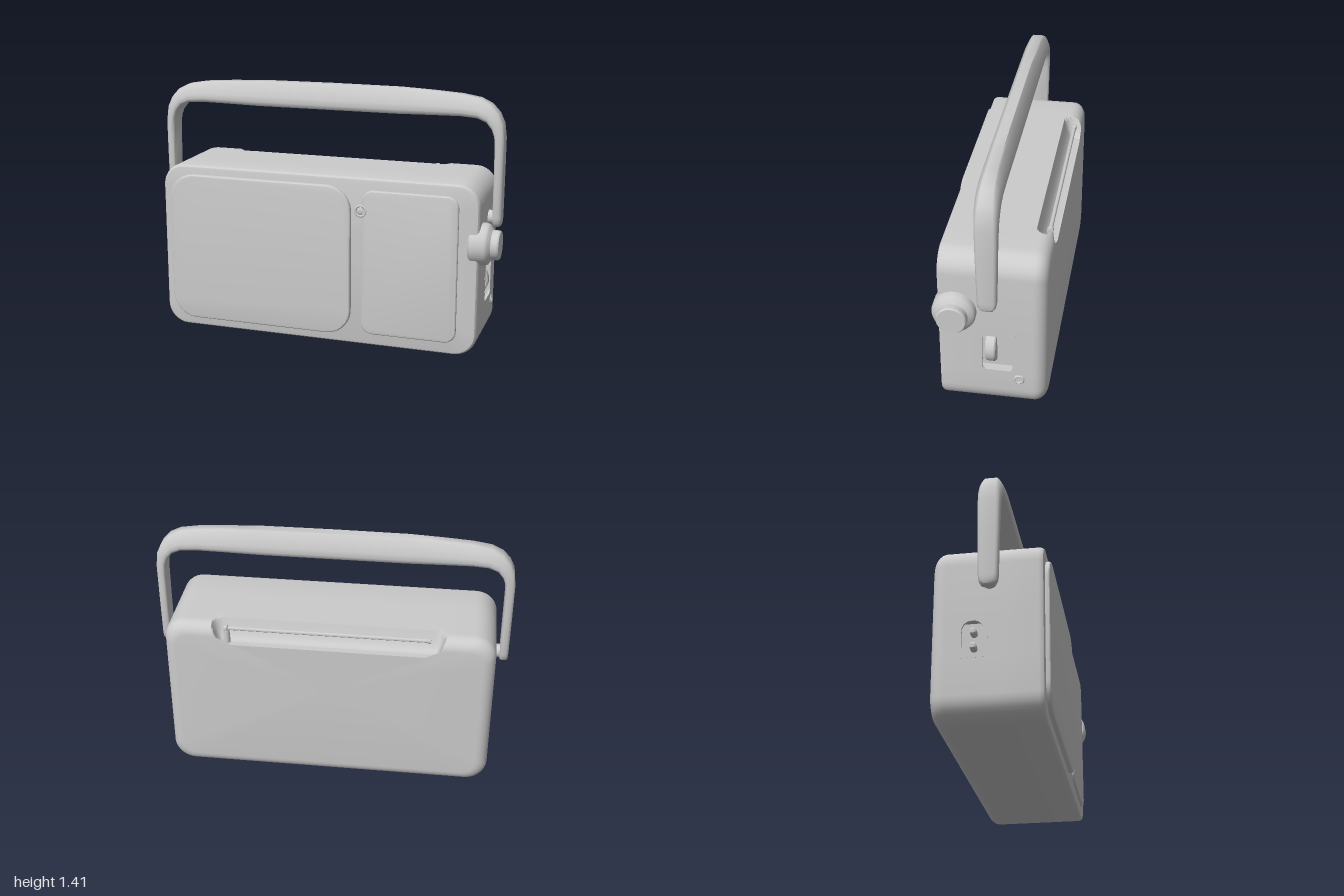
import * as THREE from 'three';
import { toCreasedNormals } from 'three/addons/utils/BufferGeometryUtils.js';

const CX = -0.0125; // centre line of body and handle
const HW = 0.9125, HH = 0.4775, CY = 0.4825, R = 0.12;

export function createModel() {
  const group = new THREE.Group();
  const material = new THREE.MeshStandardMaterial({ color: 0xcccccc });

  function add(name, geometry, x = 0, y = 0, z = 0) {
    const mesh = new THREE.Mesh(geometry, material);
    mesh.name = name;
    mesh.position.set(x, y, z);
    group.add(mesh);
    return mesh;
  }

  // Skin a list of equal-length closed loops and cap both ends
  function loft(loops, crease) {
    const n = loops[0].length, pos = loops.flat(2), idx = [];
    for (let i = 0; i < loops.length - 1; i++)
      for (let j = 0; j < n; j++) {
        const a = i * n + j, b = i * n + (j + 1) % n;
        idx.push(a, b, b + n, a, b + n, a + n);
      }
    for (const [row, flip] of [[0, true], [loops.length - 1, false]]) {
      const c = pos.length / 3;
      for (let k = 0; k < 3; k++) pos.push(loops[row].reduce((s, p) => s + p[k], 0) / n);
      for (let j = 0; j < n; j++) {
        const a = row * n + j, b = row * n + (j + 1) % n;
        flip ? idx.push(c, b, a) : idx.push(c, a, b);
      }
    }
    const g = new THREE.BufferGeometry();
    g.setAttribute('position', new THREE.Float32BufferAttribute(pos, 3));
    g.setIndex(idx);
    return toCreasedNormals(g, crease);
  }

  // Lathe profile [radius, x] turned about the x axis
  function turned(profile, segments = 40) {
    const g = new THREE.LatheGeometry(profile.map(p => new THREE.Vector2(...p)), segments);
    return toCreasedNormals(g.rotateZ(-Math.PI / 2), 0.6);
  }

  function roundRect(x0, x1, y0, y1, r, Type = THREE.Shape) {
    const s = new Type(), q = Math.PI / 2;
    s.absarc(x1 - r, y0 + r, r, -q, 0);
    s.absarc(x1 - r, y1 - r, r, 0, q);
    s.absarc(x0 + r, y1 - r, r, q, 2 * q);
    s.absarc(x0 + r, y0 + r, r, 2 * q, 3 * q);
    s.closePath();
    return s;
  }

  // ---- Body: rounded rectangle outline stacked along z, with pockets pressed in
  const topX = [0.64, 0.63, 0.62, 0.61, 0.6, 0.588, 0.575, 0.56, 0.3, 0, -0.3,
    -0.58, -0.595, -0.608, -0.62, -0.63, -0.64, -0.65, -0.66];
  const rightY = [0.239, 0.24, 0.36, 0.484, 0.485], leftY = [0.531, 0.53, 0.43, 0.33, 0.329];
  // Scooped antenna groove, rounded in plan
  function grooveY(x, z) {
    const tx = Math.max(0, 1 - Math.min(0.63 - x, x + 0.65) / 0.06);
    const tz = Math.max(0, 1 - (-0.2 - z) / 0.06);
    return 0.845 + 0.116 * (tx * tx + tz * tz);
  }
  function press(x, y, z) {
    y = Math.min(y, grooveY(x, z));
    if (x > 0.8 && y > 0.2395 && y < 0.4845 && z > -0.1295 && z < 0.0495) x = 0.84;
    if (x < -0.8 && y > 0.3295 && y < 0.5305 && z > -0.1495 && z < -0.0195) x = -0.87;
    return [x, y, z];
  }
  function outline(z, d) {
    const w = HW - d, h = HH - d, r = R - d * 0.5, pts = [];
    const corner = (sx, sy, start) => {
      for (let i = 0; i <= 8; i++) {
        const a = start + i / 8 * Math.PI / 2;
        pts.push([CX + sx * (w - r) + r * Math.cos(a), CY + sy * (h - r) + r * Math.sin(a)]);
      }
    };
    corner(1, -1, -Math.PI / 2);
    rightY.forEach(y => pts.push([CX + w, y]));
    corner(1, 1, 0);
    topX.forEach(x => pts.push([x, CY + h]));
    corner(-1, 1, Math.PI / 2);
    leftY.forEach(y => pts.push([CX - w, y]));
    corner(-1, -1, Math.PI);
    return pts.map(([x, y]) => press(x, y, z));
  }
  const rings = [];
  for (let i = 0; i <= 8; i++) {
    const a = i / 8 * Math.PI / 2;
    rings.push([-0.23 - 0.07 * Math.cos(a), 0.07 * (1 - Math.sin(a))]);
  }
  for (const z of [-0.22, -0.21, -0.2, -0.15, -0.149, -0.13, -0.129, -0.02, -0.019, 0.049, 0.05, 0.245])
    rings.push([z, 0]);
  rings.push([0.258, 0.003], [0.267, 0.01], [0.27, 0.022]);
  add('body', loft(rings.map(([z, d]) => outline(z, d)), 0.6));

  // ---- Front panels
  function panel(name, x0, x1, y0, y1, r, top, segments) {
    const b = 0.012;
    const g = new THREE.ExtrudeGeometry(roundRect(x0 + b, x1 - b, y0 + b, y1 - b, r - b), {
      depth: top - 0.25 - b, bevelThickness: b, bevelSize: b, bevelSegments: 3, curveSegments: segments,
    });
    add(name, toCreasedNormals(g, 0.5), 0, 0, 0.25);
  }
  panel('speakerPanel', -0.875, 0.195, 0.06, 0.91, 0.14, 0.295, 3);
  panel('controlPanel', 0.255, 0.79, 0.075, 0.895, 0.065, 0.284, 10);

  // ---- Indicator light
  add('indicatorRing', new THREE.TorusGeometry(0.029, 0.007, 10, 28), 0.25, 0.778, 0.28);
  add('indicatorLight', new THREE.SphereGeometry(0.027, 20, 12).scale(1, 1, 0.5), 0.25, 0.778, 0.273);

  // ---- Tuning knob on the left side
  add('tuningKnob', turned([[0, 0.84], [0.105, 0.84], [0.115, 0.85], [0.115, 0.925], [0.108, 0.94],
    [0.088, 0.952], [0.08, 0.958], [0.08, 0.992], [0.074, 1], [0, 1]], 48), 0, 0.625, 0.18);

  // ---- Pocket frames
  function frame(name, w, h, r, margin) {
    const s = roundRect(-w / 2 - margin, w / 2 + margin, -h / 2 - margin, h / 2 + margin, 0.006);
    s.holes.push(roundRect(-w / 2, w / 2, -h / 2, h / 2, r, THREE.Path));
    return add(name, new THREE.ExtrudeGeometry(s, { depth: 0.012, bevelEnabled: false, curveSegments: 10 }));
  }
  const wheelFrame = frame('volumeWheelFrame', 0.16, 0.225, 0.02, 0.018);
  wheelFrame.rotation.y = Math.PI / 2;
  wheelFrame.position.set(0.8885, 0.3625, -0.04);
  const socketFrame = frame('powerSocketFrame', 0.11, 0.18, 0.05, 0.02);
  socketFrame.rotation.y = -Math.PI / 2;
  socketFrame.position.set(-0.9135, 0.43, -0.085);

  // ---- Volume wheel
  const wheel = turned([[0, -0.028], [0.09, -0.028], [0.097, -0.02], [0.097, 0.02], [0.09, 0.028], [0, 0.028]]);
  add('volumeWheel', wheel.rotateY(Math.PI / 2), 0.814, 0.365, -0.002);

  // ---- Power socket pins
  for (const dy of [-0.04, 0.04])
    add('powerPin', turned([[0, -0.02], [0.018, -0.02], [0.018, 0.025], [0.012, 0.03], [0, 0.03]], 16), -0.89, 0.43 + dy, -0.085)
      .rotation.y = Math.PI;

  // ---- Headphone jack
  add('headphoneJack', turned([[0.03, 0.88], [0.03, 0.9], [0.024, 0.906], [0.018, 0.905], [0.016, 0.901], [0, 0.901]], 24),
    0, 0.2, -0.155);

  // ---- Folded antenna resting in its groove
  const rod = turned([[0, -0.57], [0.014, -0.57], [0.016, -0.564], [0.016, -0.555], [0.011, -0.55], [0.011, 0.54],
    [0.018, 0.543], [0.018, 0.56], [0, 0.565]], 16);
  add('antenna', rod, 0, 0.932, -0.265);
  add('antennaPivot', new THREE.CylinderGeometry(0.016, 0.02, 0.09, 16), 0.548, 0.885, -0.265);

  // ---- Handle: sections between an outer and an inner line
  // [outer x, outer y, inner x, inner y, half width, blend from leg to grip]
  const half = [
    [0.972, 0.68, 0.952, 0.68, 0.018, 0], [0.982, 0.687, 0.942, 0.687, 0.033, 0],
    [0.986, 0.705, 0.938, 0.705, 0.046, 0], [0.987, 0.735, 0.938, 0.735, 0.051, 0],
    [0.988, 1.0, 0.938, 1.0, 0.056, 0], [0.988, 1.17, 0.938, 1.12, 0.06, 0.1],
    [0.978, 1.25, 0.934, 1.18, 0.062, 0.3], [0.953, 1.305, 0.92, 1.22, 0.064, 0.5],
    [0.91, 1.352, 0.89, 1.258, 0.065, 0.7], [0.85, 1.382, 0.84, 1.279, 0.066, 0.85],
    [0.75, 1.399, 0.75, 1.286, 0.067, 1], [0.6, 1.409, 0.6, 1.284, 0.067, 1],
    [0.4, 1.418, 0.4, 1.28, 0.067, 1], [0, 1.42, 0, 1.28, 0.067, 1],
  ];
  const mirrored = half.slice(0, -1).reverse().map(([a, b, c, d, w, k]) => [-a, b, -c, d, w, k]);
  // [depth from inner to outer, leg width, grip width]
  const section = [[0, 0.72, 0.8], [0.06, 0.88, 0.93], [0.18, 1, 1], [0.4, 1, 0.97],
    [0.7, 1, 0.72], [0.92, 0.86, 0.52], [1, 0.66, 0.4]];
  const ring = [...section.map(s => [...s, 1]), ...section.slice().reverse().map(s => [...s, -1])];
  const handleLoops = [...half, ...mirrored].map(([ox, oy, ix, iy, w, k]) =>
    ring.map(([t, leg, grip, side]) => [
      CX + ix + (ox - ix) * t, iy + (oy - iy) * t, side * w * (leg + (grip - leg) * k)]));
  add('handle', loft(handleLoops, 0.9));

  // ---- Handle pivots
  for (const s of [-1, 1])
    add('handlePivot', new THREE.CylinderGeometry(0.038, 0.038, 0.06, 24).rotateZ(Math.PI / 2), CX + s * 0.925, 0.73, 0);

  return group;
}
